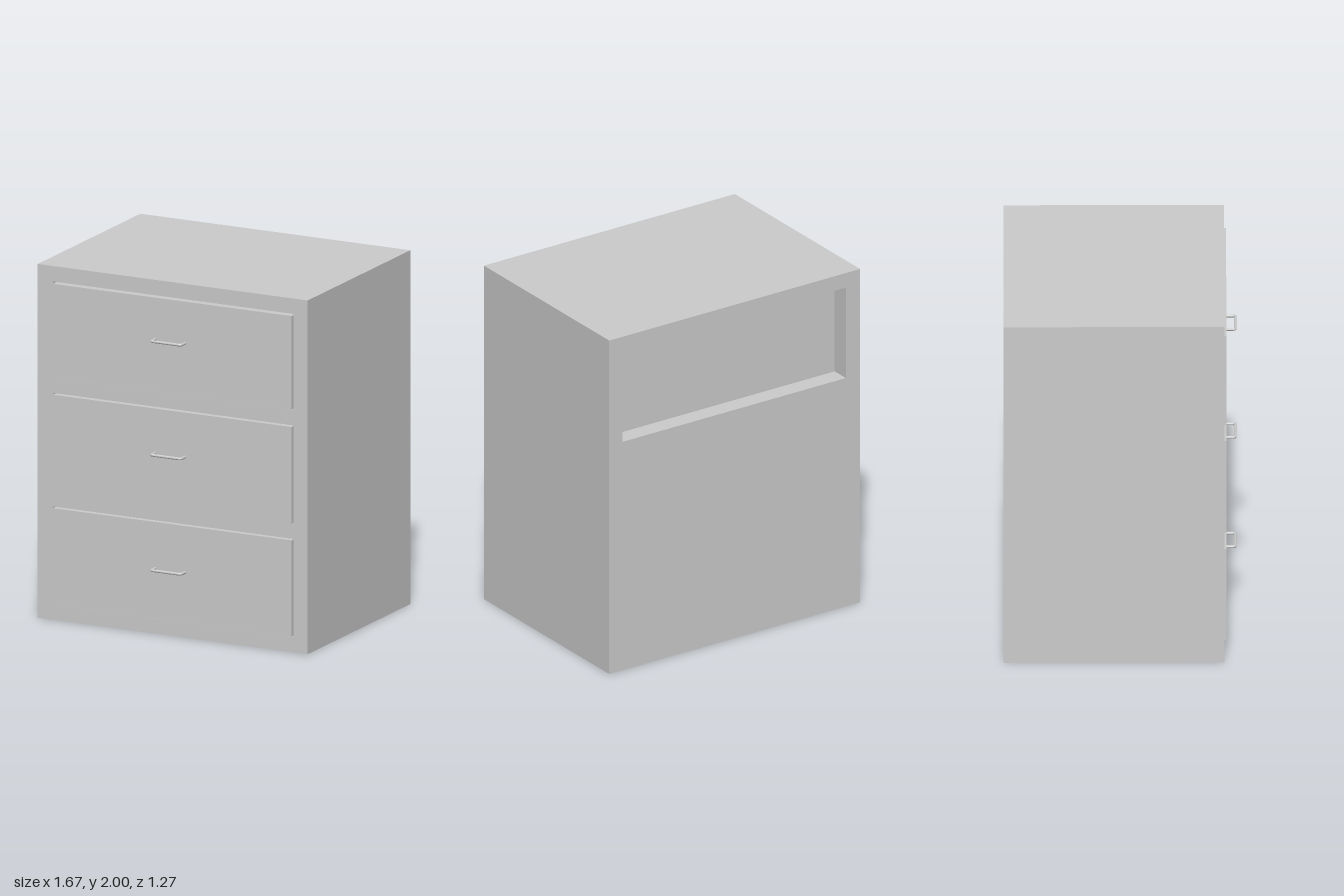
import * as THREE from 'three';

const HALF_W = 0.833, BACK = -0.637, FRONT = 0.568, PANEL = -0.537;
const HOLE_L = -0.738, HOLE_R = 0.745;
// vertical extents of the drawer openings and fronts, and handle heights
const ROWS = [
  { name: 'top', hole: [1.37, 1.913], front: [1.374, 1.903], handle: 1.668 },
  { name: 'middle', hole: [0.725, 1.283], front: [0.728, 1.276], handle: 1.025 },
  { name: 'bottom', hole: [0.087, 0.641], front: [0.091, 0.635], handle: 0.373 },
];
const grey = new THREE.MeshStandardMaterial({ color: 0xcccccc });

function rect(Type, x0, x1, y0, y1) {
  return new Type([[x0, y0], [x1, y0], [x1, y1], [x0, y1]].map(p => new THREE.Vector2(...p)));
}

// slab of the cabinet between two depths, pierced by the given openings
function slab(name, z0, z1, rows) {
  const shape = rect(THREE.Shape, -HALF_W, HALF_W, 0, 2);
  for (const r of rows) shape.holes.push(rect(THREE.Path, HOLE_L, HOLE_R, ...r.hole));
  const geo = new THREE.ExtrudeGeometry(shape, { depth: z1 - z0, bevelEnabled: false });
  const mesh = new THREE.Mesh(geo.translate(0, 0, z0), grey);
  mesh.name = name;
  return mesh;
}

// U-shaped pull with rounded corners
function handle(y) {
  const r = 0.008, x0 = -0.102, x1 = 0.082, z0 = 0.57, z1 = 0.637 - r, c = 0.014;
  const v = (x, z) => new THREE.Vector3(x, 0, z);
  const path = new THREE.CurvePath();
  path.add(new THREE.LineCurve3(v(x0, z0), v(x0, z1 - c)));
  path.add(new THREE.QuadraticBezierCurve3(v(x0, z1 - c), v(x0, z1), v(x0 + c, z1)));
  path.add(new THREE.LineCurve3(v(x0 + c, z1), v(x1 - c, z1)));
  path.add(new THREE.QuadraticBezierCurve3(v(x1 - c, z1), v(x1, z1), v(x1, z1 - c)));
  path.add(new THREE.LineCurve3(v(x1, z1 - c), v(x1, z0)));
  const mesh = new THREE.Mesh(new THREE.TubeGeometry(path, 96, r, 12), grey);
  mesh.position.y = y;
  mesh.name = 'handle';
  return mesh;
}

export function createModel() {
  const model = new THREE.Group();
  model.name = 'drawerCabinet';

  // carcass with three front openings; the back is open behind the top drawer
  model.add(slab('carcass', PANEL, FRONT, ROWS));
  model.add(slab('backPanel', BACK, PANEL, [ROWS[0]]));

  for (const row of ROWS) {
    const drawer = new THREE.Group();
    drawer.name = row.name + 'Drawer';
    const [y0, y1] = row.front, x0 = -0.732, x1 = 0.74, z1 = 0.58;
    const body = new THREE.Mesh(new THREE.BoxGeometry(x1 - x0, y1 - y0, z1 - PANEL), grey);
    body.position.set((x0 + x1) / 2, (y0 + y1) / 2, (z1 + PANEL) / 2);
    body.name = 'drawerBox';
    drawer.add(body, handle(row.handle));
    model.add(drawer);
  }
  return model;
}
